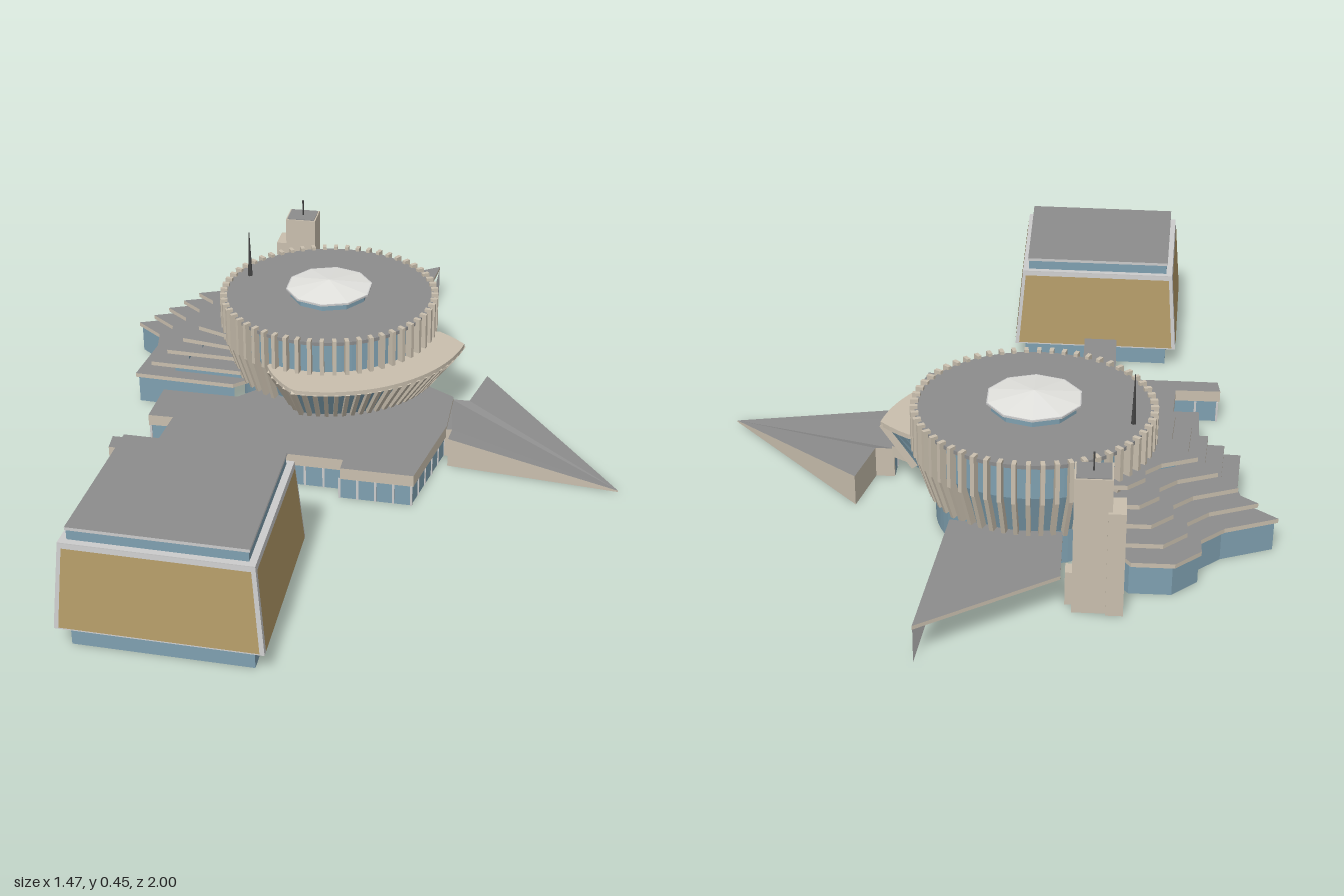
import * as THREE from 'three';

const mat = (color) => new THREE.MeshStandardMaterial({ color, flatShading: true, side: THREE.DoubleSide });
const ROOF = mat(0x8c8c8c), STONE = mat(0xc9bfae), GLASS = mat(0x7fa0b0), BRONZE = mat(0xb39b68);
const TRIM = mat(0xcccccc), DARK = mat(0x444444);
const CX = -0.122, CZ = -0.338; // centre of the round hall
const V = (x, y, z) => new THREE.Vector3(x, y, z);
const rad = THREE.MathUtils.degToRad;
const polar = (deg, r) => [CX + r * Math.cos(rad(deg)), CZ + r * Math.sin(rad(deg))];

export function createModel() {
  const model = new THREE.Group();
  const add = (name, geo, material, parent = model) => {
    const m = new THREE.Mesh(geo, material);
    m.name = name;
    parent.add(m);
    return m;
  };
  const group = (name) => {
    const g = new THREE.Group();
    g.name = name;
    model.add(g);
    return g;
  };
  const box = (name, x0, x1, y0, y1, z0, z1, material, parent) => {
    const m = add(name, new THREE.BoxGeometry(x1 - x0, y1 - y0, z1 - z0), material, parent);
    m.position.set((x0 + x1) / 2, (y0 + y1) / 2, (z0 + z1) / 2);
    return m;
  };
  // horizontal slab from an [x, z] outline
  const slab = (name, pts, y0, y1, top, side, parent) => {
    const shape = new THREE.Shape(pts.map(([x, z]) => new THREE.Vector2(x, z)));
    const geo = new THREE.ExtrudeGeometry(shape, { depth: y1 - y0, bevelEnabled: false });
    geo.rotateX(Math.PI / 2).translate(0, y1, 0);
    return add(name, geo, [top, side], parent);
  };
  // wall strip between two [x, z] loops at two heights
  const wall = (name, low, y0, high, y1, material, parent, closed = true) => {
    const p = [], n = low.length;
    for (let i = 0; i < (closed ? n : n - 1); i++) {
      const j = (i + 1) % n;
      const a = [low[i][0], y0, low[i][1]], b = [low[j][0], y0, low[j][1]];
      const c = [high[j][0], y1, high[j][1]], d = [high[i][0], y1, high[i][1]];
      p.push(...a, ...c, ...b, ...a, ...d, ...c);
    }
    const geo = new THREE.BufferGeometry();
    geo.setAttribute('position', new THREE.Float32BufferAttribute(p, 3));
    geo.computeVertexNormals();
    return add(name, geo, material, parent);
  };
  const shrink = (pts, t, cx, cz) => pts.map(([x, z]) => [x + (cx - x) * t, z + (cz - z) * t]);
  const ring = (name, rLow, y0, rHigh, y1, material, parent) => {
    const m = add(name, new THREE.CylinderGeometry(rHigh, rLow, y1 - y0, 64, 1, true), material, parent);
    m.position.set(CX, (y0 + y1) / 2, CZ);
    return m;
  };
  // radial blade leaning from one radius and height to another
  const fin = (deg, r0, y0, r1, y1, parent) => {
    const m = add('fin', new THREE.BoxGeometry(0.02, Math.hypot(r1 - r0, y1 - y0), 0.011), STONE, parent);
    const pivot = new THREE.Group();
    pivot.position.set(CX, 0, CZ);
    pivot.rotation.y = -rad(deg);
    m.position.set((r0 + r1) / 2, (y0 + y1) / 2, 0);
    m.rotation.z = -Math.atan2(r1 - r0, y1 - y0);
    pivot.add(m);
    parent.add(pivot);
  };

  // Square pavilion with tapering bronze walls
  const pavilion = group('squarePavilion');
  const foot = [[-0.508, 0.5], [-0.03, 0.515], [-0.03, 0.997], [-0.532, 0.978]];
  const sq = (t) => shrink(foot, t, -0.275, 0.747);
  wall('pavilionGlassBase', sq(0.12), 0, sq(0.12), 0.062, GLASS, pavilion);
  wall('pavilionSoffit', sq(0.12), 0.062, foot, 0.062, BRONZE, pavilion);
  wall('pavilionWalls', foot, 0.062, sq(0.08), 0.29, TRIM, pavilion);
  const low = sq(-0.004), high = sq(0.07);
  for (let i = 0; i < 4; i++) {
    const j = (i + 1) % 4;
    const cut = (q) => [0.025, 0.975].map((t) => [q[i][0] + (q[j][0] - q[i][0]) * t, q[i][1] + (q[j][1] - q[i][1]) * t]);
    wall('bronzePanel', cut(low), 0.066, cut(high), 0.278, BRONZE, pavilion, false);
  }
  slab('pavilionLedge', sq(0.08), 0.284, 0.292, TRIM, TRIM, pavilion);
  wall('pavilionClerestory', sq(0.15), 0.292, sq(0.15), 0.32, GLASS, pavilion);
  slab('pavilionRoof', sq(0.14), 0.318, 0.326, ROOF, TRIM, pavilion);

  // Low podium wrapping the front of the round hall
  const podium = group('podium');
  const outer = [[-0.34, -0.085], [-0.555, -0.09], [-0.56, 0.055], [-0.49, 0.055], [-0.5, 0.18], [-0.625, 0.18],
    [-0.62, 0.235], [-0.145, 0.243], [-0.145, 0.19], [0.01, 0.195], [0.01, 0.237], [0.205, 0.243],
    [0.26, -0.025], [0.26, -0.185]];
  const inner = [];
  for (let a = 15; a <= 130; a += 5) inner.push(polar(a, 0.25));
  slab('podiumRoof', [...outer, ...inner], 0.06, 0.093, ROOF, STONE, podium);
  const glassLine = shrink(outer, 0.015, -0.15, 0.07);
  wall('podiumGlass', glassLine, 0, glassLine, 0.062, GLASS, podium, false);
  for (let i = 1; i < glassLine.length - 1; i++) {
    const [a, b] = [glassLine[i], glassLine[i + 1]];
    const n = Math.max(1, Math.round(Math.hypot(b[0] - a[0], b[1] - a[1]) / 0.05));
    for (let k = 0; k < n; k++) {
      const x = a[0] + (b[0] - a[0]) * k / n, z = a[1] + (b[1] - a[1]) * k / n;
      box('mullion', x - 0.003, x + 0.003, 0, 0.06, z - 0.003, z + 0.003, TRIM, podium);
    }
  }
  slab('bridge', [[-0.33, 0.235], [-0.235, 0.235], [-0.238, 0.52], [-0.333, 0.52]], 0.084, 0.086, ROOF, ROOF);

  // Round hall: glass base, flaring neck, finned drum
  const hall = group('roundHall');
  ring('hallGlassBase', 0.25, 0, 0.25, 0.095, GLASS, hall);
  ring('hallNeck', 0.25, 0.095, 0.292, 0.215, GLASS, hall);
  ring('drumGlass', 0.292, 0.215, 0.292, 0.308, GLASS, hall);
  const roof = add('drumRoof', new THREE.CylinderGeometry(0.3, 0.3, 0.01, 64), ROOF, hall);
  roof.position.set(CX, 0.306, CZ);
  for (let i = 0; i < 56; i++) {
    const deg = i * 360 / 56;
    fin(deg, 0.302, 0.21, 0.302, 0.32, hall);
    if (deg < 5 || deg > 112) fin(deg, 0.262, 0.095, 0.3, 0.215, hall);
  }

  // Crescent terrace on the sunny side
  const crescent = group('crescentTerrace');
  const reach = (a) => (a < 9 ? 0.32 + 0.082 * a / 9 : a > 94 ? 0.403 - 0.098 * (a - 94) / 20 : 0.403);
  const rim = [], neck = [], back = [], soffit = [];
  for (let a = 0; a <= 114; a += 3) {
    rim.push(polar(a, reach(a)));
    neck.push(polar(a, reach(a) - 0.095));
    soffit.push(polar(a, 0.24));
    back.unshift(polar(a, 0.285));
  }
  slab('terraceDeck', [...rim, ...back], 0.203, 0.216, STONE, STONE, crescent);
  wall('terraceGlass', neck, 0.092, shrink(rim, 0.03, CX, CZ), 0.205, GLASS, crescent, false);
  wall('terraceSoffit', soffit, 0.094, neck, 0.094, STONE, crescent, false);
  for (let a = 9; a <= 111; a += 4.25) fin(a, reach(a) - 0.09, 0.095, reach(a) - 0.006, 0.21, crescent);

  // Faceted skylight and spire on the drum roof
  const lantern = add('skylightBase', new THREE.CylinderGeometry(0.112, 0.112, 0.025, 10), GLASS, hall);
  lantern.position.set(CX, 0.32, CZ);
  const dome = add('skylight', new THREE.CylinderGeometry(0, 0.124, 0.02, 10), mat(0xe2e2de), hall);
  dome.position.set(CX, 0.345, CZ);
  const lip = add('skylightRim', new THREE.CylinderGeometry(0.124, 0.124, 0.005, 10), TRIM, hall);
  lip.position.set(CX, 0.333, CZ);
  const spire = add('spire', new THREE.CylinderGeometry(0.001, 0.007, 0.14, 6), DARK, hall);
  spire.position.set(-0.37, 0.378, -0.415);

  // Stepped fan of terraces with set-back glazing
  const fan = group('steppedTerraces');
  const edge = [[-0.37, -0.155], [-0.66, -0.172], [-0.642, -0.345], [-0.655, -0.415], [-0.735, -0.48], [-0.6, -0.535],
    [-0.54, -0.59], [-0.54, -0.64], [-0.475, -0.7], [-0.37, -0.7], [-0.305, -0.61]];
  for (let i = 0; i < 5; i++) {
    const line = shrink(edge, i * 0.083, CX, CZ), r = 0.25 + i * 0.008, y = 0.091 + i * 0.035;
    const tuck = [];
    for (let a = 240; a >= 145; a -= 5) tuck.push(polar(a, r));
    const front = line.filter(([x, z]) => Math.hypot(x - CX, z - CZ) > r + 0.01);
    slab('terraceSlab', [...front, ...tuck], y - 0.012, y, ROOF, STONE, fan);
    const glass = shrink(front, i ? 0.13 : 0.015, CX, CZ);
    wall('terraceGlazing', glass, i ? y - 0.035 : 0, glass, y - 0.01, GLASS, fan, false);
  }

  // Stair tower with lower shaft and mast
  const tower = group('stairTower');
  box('towerShaft', -0.322, -0.232, 0, 0.365, -0.782, -0.702, STONE, tower);
  box('towerRoof', -0.318, -0.236, 0.364, 0.367, -0.778, -0.706, ROOF, tower);
  box('lowerShaft', -0.354, -0.312, 0, 0.28, -0.79, -0.715, STONE, tower);
  box('towerFlank', -0.24, -0.215, 0, 0.09, -0.75, -0.71, STONE, tower);
  box('mast', -0.278, -0.274, 0.36, 0.415, -0.744, -0.74, DARK, tower);

  // Pointed rear canopy with a fin wall at its tip
  const canopy = group('rearCanopy');
  slab('canopyRoof', [[0.12, -1], [-0.205, -0.78], [-0.205, -0.59], [-0.12, -0.58], [0.075, -0.55]], 0.09, 0.1, ROOF, STONE, canopy);
  wall('canopyFinWall', [[0.119, -0.998], [0.105, -0.85]], 0, [[0.119, -0.998], [0.105, -0.85]], 0.015, TRIM, canopy, false);
  const gusset = new THREE.BufferGeometry().setFromPoints([V(0.119, 0.015, -0.998), V(0.119, 0.092, -0.998), V(0.105, 0.015, -0.85)]);
  gusset.computeVertexNormals();
  add('canopyGusset', gusset, TRIM, canopy);
  const post = add('sculpturePost', new THREE.CylinderGeometry(0.005, 0.005, 0.092, 6), DARK, canopy);
  post.position.set(0, 0.046, -0.735);
  for (let i = 0; i < 5; i++) {
    const blade = add('sculptureBlade', new THREE.ConeGeometry(0.012, 0.055, 4).rotateZ(-Math.PI / 2).translate(0.03, 0, 0), DARK, canopy);
    blade.position.set(0, 0.065, -0.735);
    blade.rotation.y = i * Math.PI * 0.4;
  }

  // Triangular ramp sloping to the ground
  const ramp = group('sideRamp');
  const plan = [[0.34, -0.335], [0.735, 0.085], [0.27, 0.03], [0.275, -0.02], [0.255, -0.02], [0.255, -0.185], [0.305, -0.185]];
  const rampTop = slab('rampBody', plan, 0, 0.085, ROOF, STONE, ramp);
  const pos = rampTop.geometry.attributes.position;
  for (let i = 0; i < pos.count; i++) {
    const t = THREE.MathUtils.clamp((pos.getX(i) - 0.34) / 0.395, 0, 1);
    if (pos.getY(i) > 0.04) pos.setY(i, 0.085 - 0.081 * t);
  }
  rampTop.geometry.computeVertexNormals();
  return model;
}
